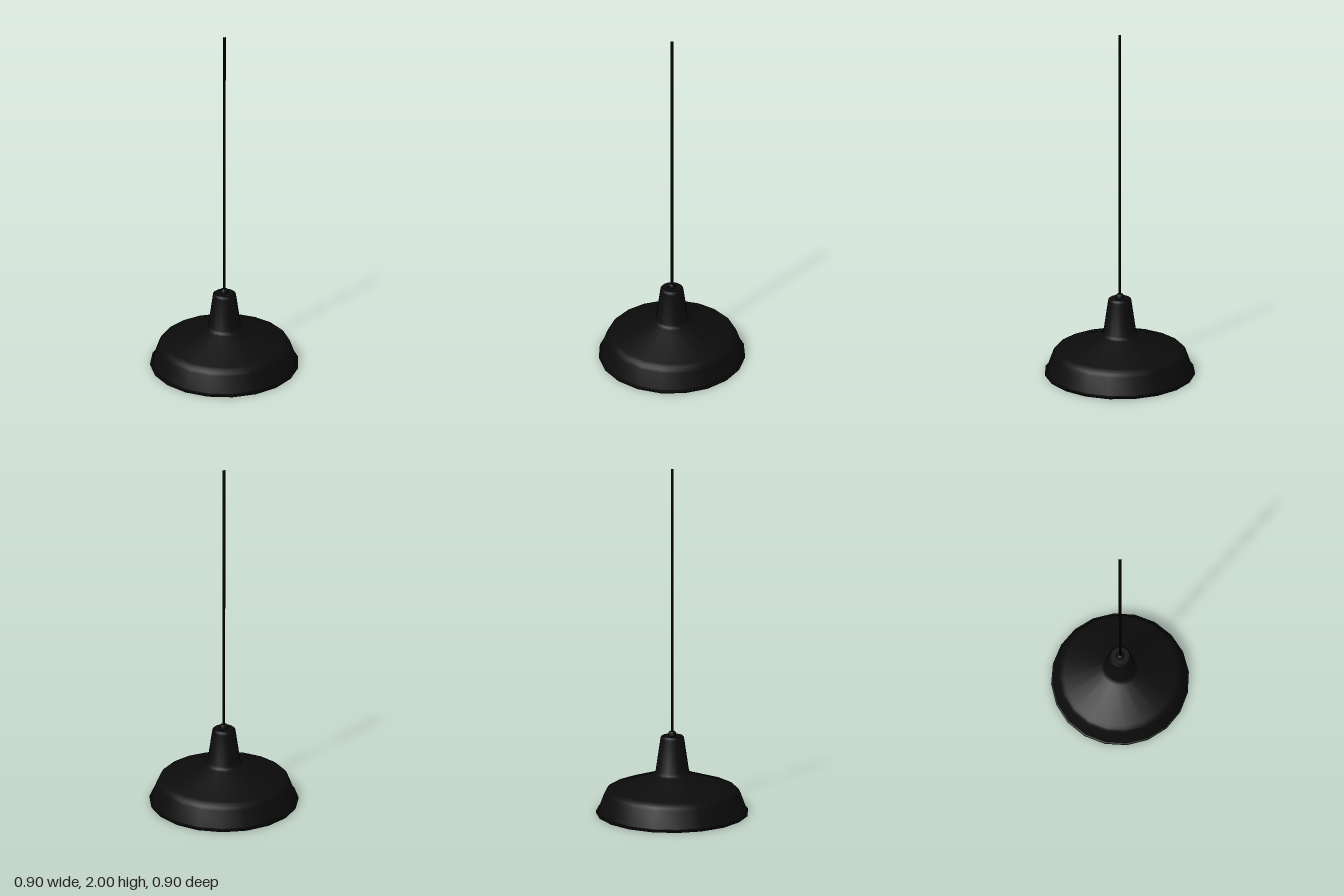
import * as THREE from 'three';
import { toCreasedNormals } from 'three/addons/utils/BufferGeometryUtils.js';

const black = new THREE.MeshStandardMaterial({ color: 0x0b0b0b });
const grey = new THREE.MeshStandardMaterial({ color: 0xcccccc });

// Turned part: a profile rising in y faces outward, a falling one faces inward.
function turned(name, profile, sides, material) {
  const points = profile.map(([r, y]) => new THREE.Vector2(r, y));
  const geometry = toCreasedNormals(new THREE.LatheGeometry(points, sides), 0.7);
  const mesh = new THREE.Mesh(geometry, material);
  mesh.name = name;
  return mesh;
}

export function createModel() {
  const lamp = new THREE.Group();
  lamp.name = 'pendantLamp';
  const cordRadius = 0.008;

  // Outer shade: rim, flared skirt, sloping shoulder and tapered neck
  const shade = [
    [0.44, 0], [0.45, 0], [0.45, 0.009], [0.439, 0.012],
    [0.403, 0.108], [0.395, 0.125], [0.382, 0.138], [0.362, 0.147],
    [0.12, 0.225], [0.105, 0.233], [0.098, 0.248],
    [0.07, 0.435], [0.067, 0.449], [0.06, 0.455], [0.02, 0.455],
  ];
  lamp.add(turned('shadeOuter', shade, 20, black));

  // Pale lining just inside the shade, running from the neck top to the rim
  const lining = [
    [cordRadius, 0.448], [0.056, 0.448], [0.064, 0.435],
    [0.093, 0.245], [0.101, 0.228], [0.118, 0.219],
    [0.36, 0.141], [0.379, 0.132], [0.39, 0.121], [0.398, 0.106],
    [0.434, 0.012], [0.44, 0],
  ];
  lamp.add(turned('shadeLining', lining, 20, grey));

  // Small cord grip on top of the neck
  const grip = [
    [0.023, 0.453], [0.023, 0.472], [0.019, 0.479], [0.012, 0.482], [cordRadius, 0.482],
  ];
  lamp.add(turned('cordGrip', grip, 16, black));

  // Hanging cord, open at the ends
  lamp.add(turned('cord', [[cordRadius, 0.455], [cordRadius, 2]], 8, black));

  return lamp;
}
